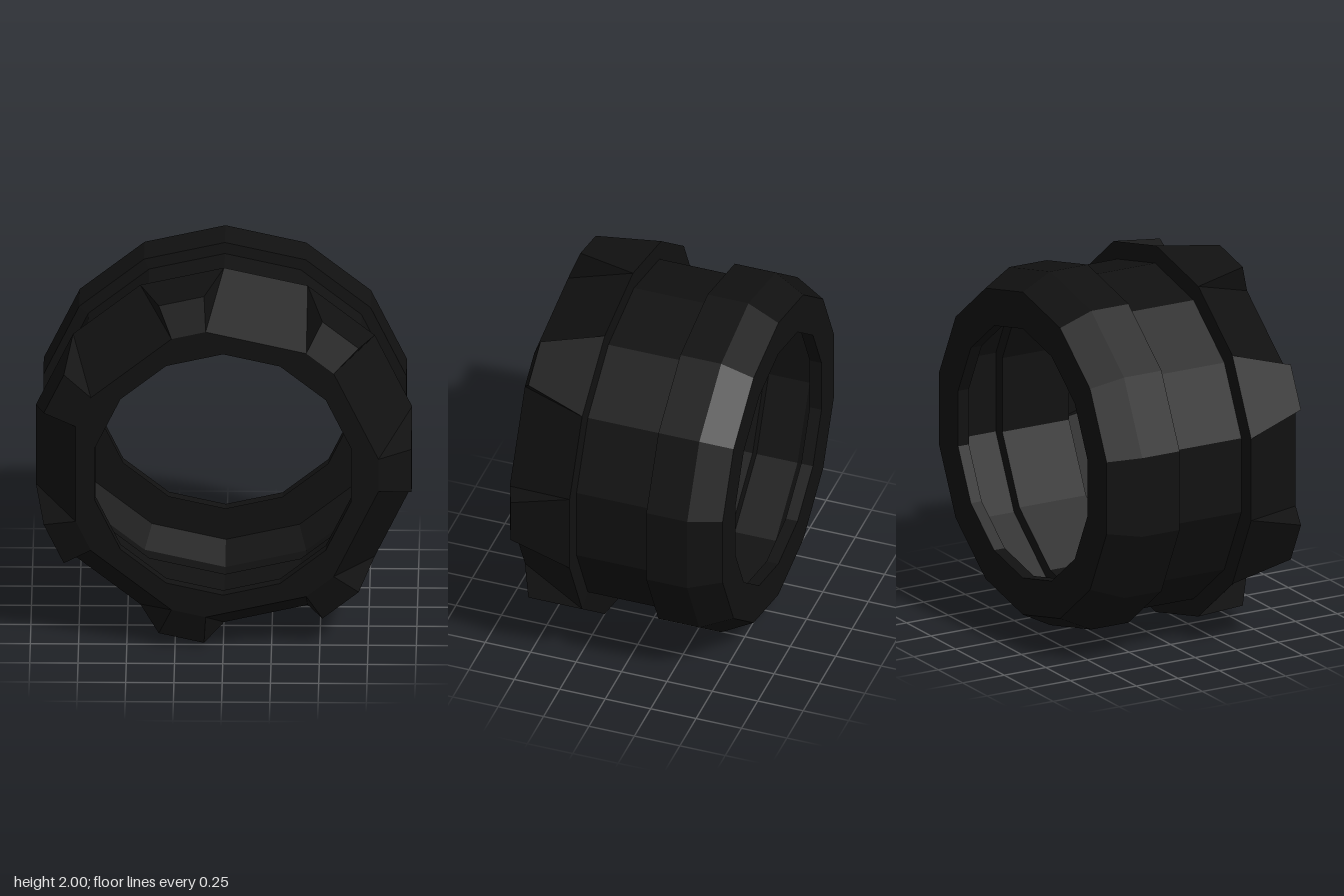
import * as THREE from 'three';

const SIDES = 14;
const STEP = (Math.PI * 2) / SIDES;
const rubber = new THREE.MeshStandardMaterial({ color: 0x111111, flatShading: true, side: THREE.DoubleSide });

// point at an angle measured from the top towards +x, around the axle at y = 1
const polar = (r, z, a) => new THREE.Vector3(r * Math.sin(a), 1 + r * Math.cos(a), z);

// ring of corners; flare shifts neighbouring corners apart in alternate directions
const ring = (r, z, flare = 0) =>
  Array.from({ length: SIDES }, (_, i) => polar(r, z, i * STEP + (i % 2 ? flare : -flare)));

function meshFrom(name, triangles) {
  const geo = new THREE.BufferGeometry().setFromPoints(triangles);
  geo.computeVertexNormals();
  const mesh = new THREE.Mesh(geo, rubber);
  mesh.name = name;
  return mesh;
}

const quad = (a, b, c, d) => [a, b, c, a, c, d];

// skin through successive rings, listed from back to front along the outside
function loft(name, rings) {
  const tris = [];
  for (let k = 0; k + 1 < rings.length; k++) {
    for (let i = 0; i < SIDES; i++) {
      const j = (i + 1) % SIDES;
      tris.push(...quad(rings[k][i], rings[k + 1][i], rings[k + 1][j], rings[k][j]));
    }
  }
  return meshFrom(name, tris);
}

export function createModel() {
  const group = new THREE.Group();
  group.name = 'tyre';

  const base = ring(1, 0.205);
  const rim = ring(0.81, 0.595, 0.112);

  // rear sidewall with a short inner lip
  group.add(loft('rearSidewall', [ring(0.68, -0.53), ring(0.68, -0.595), ring(0.88, -0.595)]));

  // chamfered rear tread and its step down to the groove
  group.add(loft('rearTread', [ring(0.88, -0.595), ring(0.965, -0.43), ring(0.965, -0.205), ring(0.905, -0.2)]));

  // sunken centre groove and the step up to the front tread
  group.add(loft('centreGroove', [ring(0.905, -0.2), ring(0.905, 0.2), base]));

  // front tread: seven tapered lugs alternating with sloping gaps
  const lugs = [];
  const gaps = [];
  for (let i = 0; i < SIDES; i++) {
    const j = (i + 1) % SIDES;
    const a = base[i], b = base[j], c = rim[i], d = rim[j];
    if (i % 2 === 0) {
      gaps.push(...quad(a, c, d, b));
    } else {
      const e = a.clone().lerp(b, 0.23).setZ(0.53);
      const f = a.clone().lerp(b, 0.77).setZ(0.53);
      lugs.push(...quad(a, e, f, b), ...quad(e, c, d, f), a, c, e, b, f, d);
    }
  }
  group.add(meshFrom('frontLugs', lugs), meshFrom('frontGaps', gaps));

  // front sidewall with a short inner lip
  group.add(loft('frontSidewall', [rim, ring(0.68, 0.595), ring(0.68, 0.53)]));

  return group;
}
